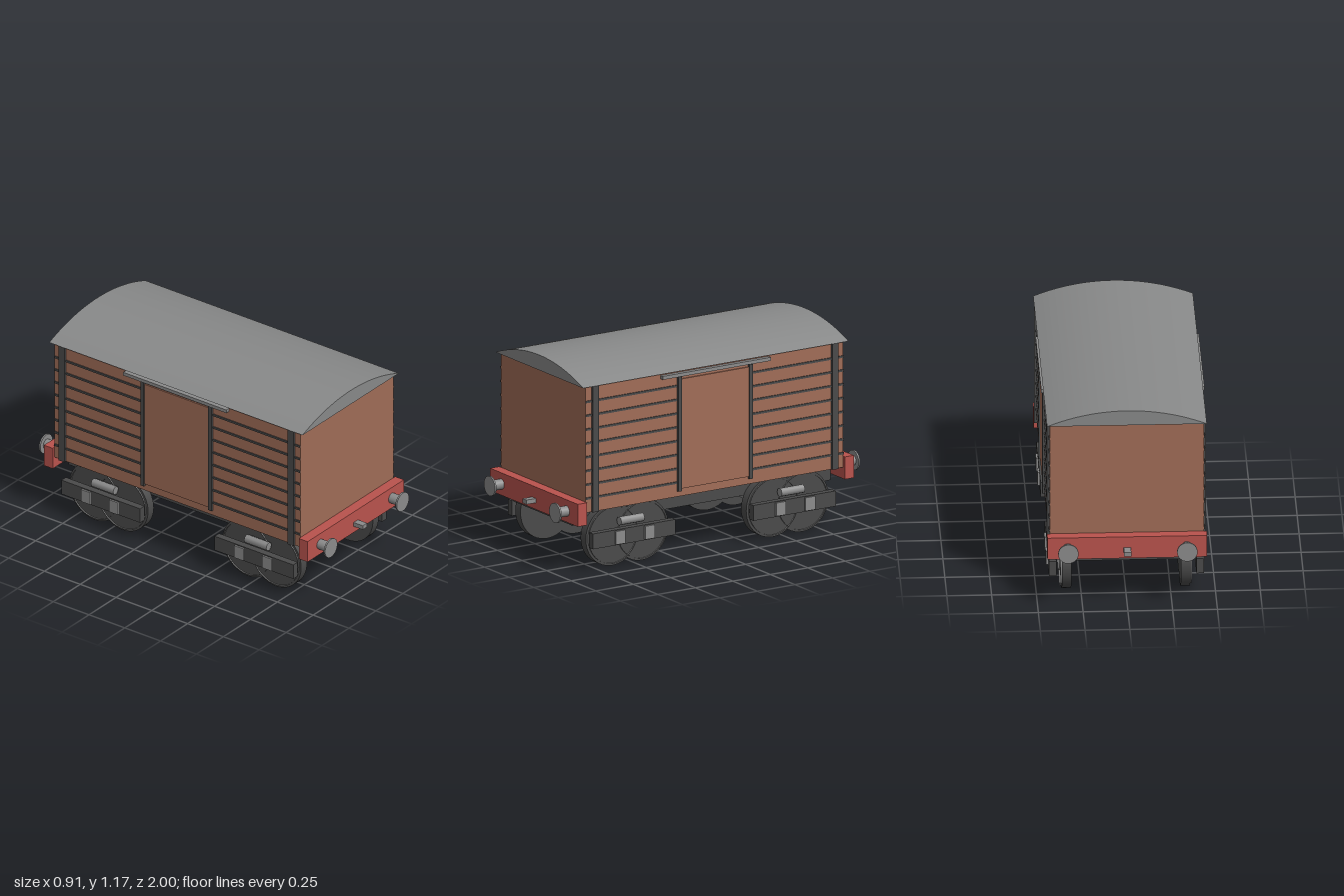
import * as THREE from 'three';

const mat = (name, color, extra = {}) => {
  const m = new THREE.MeshStandardMaterial({ color, ...extra });
  m.name = name;
  return m;
};

export function createModel() {
  const brown = mat('brown planks', 0xa06c57);
  const red = mat('red beam', 0xb9534d);
  const dark = mat('dark iron', 0x4a4a4a);
  const grey = mat('grey metal', 0x8b8b8b);
  const roofGrey = mat('roof grey', 0x888989);
  const greyRim = mat('grey rim', 0x8b8b8b, { side: THREE.DoubleSide });

  const wagon = new THREE.Group();
  wagon.name = 'boxWagon';

  const add = (name, geometry, material, x, y, z, parent = wagon) => {
    const mesh = new THREE.Mesh(geometry, material);
    mesh.name = name;
    mesh.position.set(x, y, z);
    parent.add(mesh);
  };
  // Box given by its lower and upper limits on each axis
  const box = (name, material, x0, x1, y0, y1, z0, z1, parent) =>
    add(name, new THREE.BoxGeometry(Math.abs(x1 - x0), y1 - y0, Math.abs(z1 - z0)), material,
      (x0 + x1) / 2, (y0 + y1) / 2, (z0 + z1) / 2, parent);
  const rodX = (r, length, n, open = false) => new THREE.CylinderGeometry(r, r, length, n, 1, open).rotateZ(Math.PI / 2);
  const rodZ = (r, length, n) => new THREE.CylinderGeometry(r, r, length, n).rotateX(Math.PI / 2);

  // Body and underframe
  box('body', brown, -0.43, 0.43, 0.355, 1.085, -0.86, 0.86);
  box('underframe', dark, -0.3, 0.3, 0.25, 0.355, -0.86, 0.86);

  // Arched roof: a circle segment pulled along the wagon
  const half = 0.446, rise = 0.088;
  const radius = (half * half + rise * rise) / (2 * rise);
  const angle = Math.asin(half / radius);
  const arch = new THREE.Shape();
  arch.absarc(0, rise - radius, radius, Math.PI / 2 - angle, Math.PI / 2 + angle, false);
  arch.closePath();
  const roof = new THREE.ExtrudeGeometry(arch, { depth: 1.77, bevelEnabled: false, curveSegments: 32 });
  add('roof', roof, roofGrey, 0, 1.085, -0.885);

  // Side details, the same on left and right
  for (const s of [-1, 1]) {
    const side = new THREE.Group();
    side.name = s > 0 ? 'leftSide' : 'rightSide';
    wagon.add(side);
    box('door', brown, s * 0.43, s * 0.438, 0.4, 1.035, -0.225, 0.225, side);
    box('doorRail', grey, s * 0.43, s * 0.456, 1.055, 1.075, -0.36, 0.36, side);
    for (const e of [-1, 1]) {
      box('cornerPost', dark, s * 0.43, s * 0.445, 0.355, 1.085, e * 0.78, e * 0.82, side);
      box('doorPost', dark, s * 0.43, s * 0.445, 0.387, 1.05, e * 0.225, e * 0.249, side);
      for (let i = 0; i < 8; i++) {
        const y = 0.437 + i * 0.08;
        box('plankStrip', dark, s * 0.43, s * 0.436, y - 0.006, y + 0.006, e * 0.237, e * 0.86, side);
      }
    }
  }

  for (const e of [-1, 1]) {
    // End beam with bumpers and coupling
    const end = new THREE.Group();
    end.name = e > 0 ? 'frontEnd' : 'backEnd';
    wagon.add(end);
    box('endBeam', red, -0.446, 0.446, 0.288, 0.418, e * 0.86, e * 0.921, end);
    box('coupling', grey, -0.02, 0.02, 0.327, 0.352, e * 0.92, e * 0.985, end);
    for (const s of [-1, 1]) {
      add('bumperShank', rodZ(0.03, 0.075, 20), grey, s * 0.332, 0.353, e * 0.956, end);
      add('bumperHead', rodZ(0.057, 0.01, 32), grey, s * 0.332, 0.353, e * 0.995, end);
    }

    // Bogie: two wheelsets, side bars, axle boxes and springs
    const bogie = new THREE.Group();
    bogie.name = e > 0 ? 'frontBogie' : 'backBogie';
    bogie.position.z = e * 0.535;
    wagon.add(bogie);
    box('bolster', dark, -0.32, 0.32, 0.236, 0.33, -0.15, 0.15, bogie);
    for (const z of [-0.098, 0.098]) {
      add('axle', rodX(0.026, 0.64, 8), grey, 0, 0.18, z, bogie);
      for (const s of [-1, 1]) {
        add('wheel', rodX(0.177, 0.053, 48), dark, s * 0.332, 0.177, z, bogie);
        add('wheelRim', rodX(0.163, 0.012, 48, true), greyRim, s * 0.361, 0.177, z, bogie);
        box('axleBox', grey, s * 0.425, s * 0.443, 0.143, 0.22, z - 0.032, z + 0.032, bogie);
      }
    }
    for (const s of [-1, 1]) {
      box('sideBar', dark, s * 0.391, s * 0.432, 0.137, 0.226, -0.275, 0.275, bogie);
      add('spring', rodZ(0.025, 0.155, 8), grey, s * 0.396, 0.262, 0, bogie);
    }
  }
  return wagon;
}
